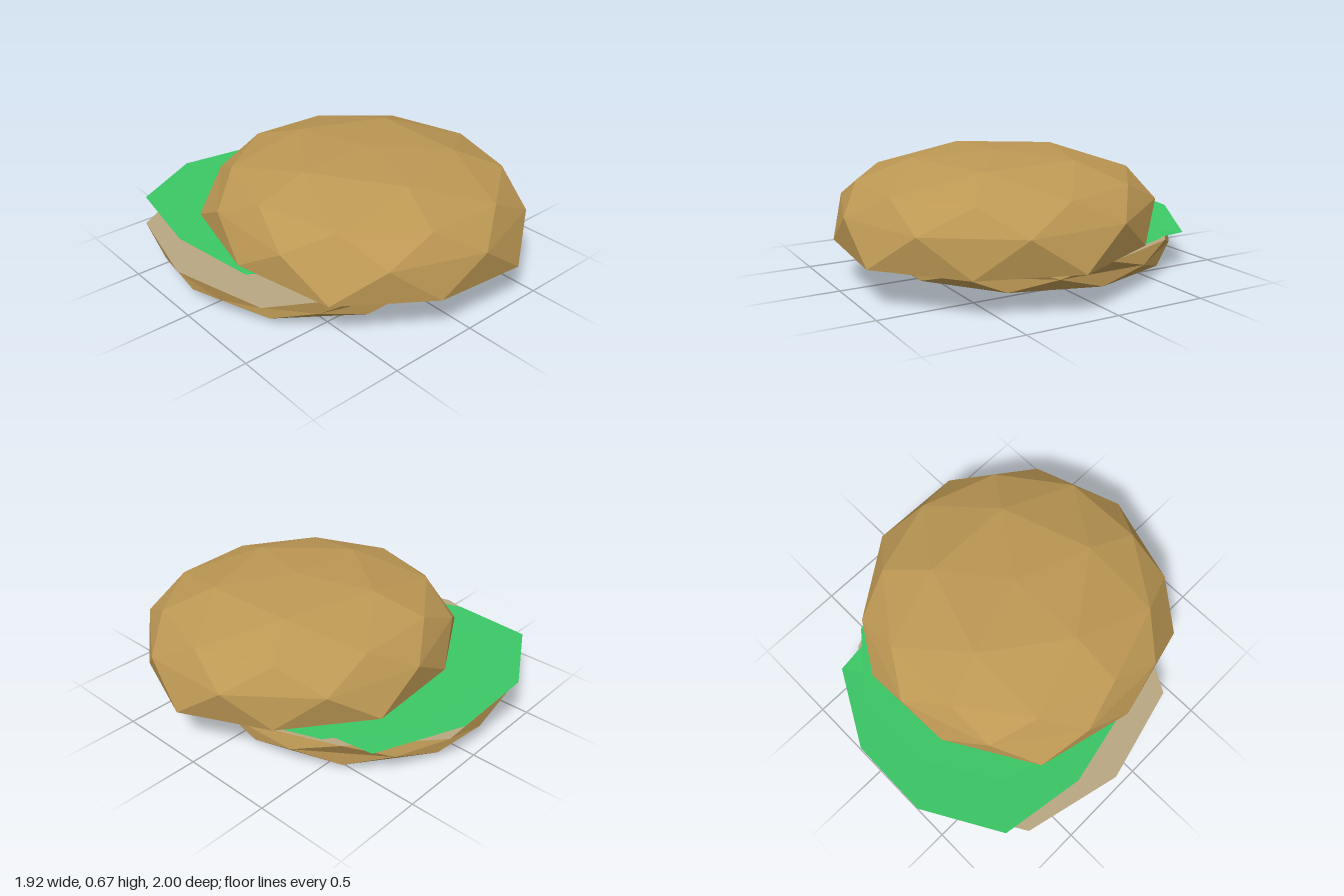
import * as THREE from 'three';

const material = (name, color) => new THREE.MeshStandardMaterial({ name, color, flatShading: true });

// Slightly uneven rim shared by both bun halves
const RIM = [0.87, 0.83, 0.88, 0.855, 0.91, 0.87, 0.915, 0.86, 0.88, 0.83];
const LEAF_A = [0.72, 0.77, 0.74, 0.74, 0.77, 0.72, 0.8, 0.745, 0.74, 0.81];
const LEAF_B = [0.72, 0.73, 0.76, 0.75, 0.73, 0.72, 0.77, 0.73, 0.74, 0.72];

// Ring of points around (cx, cz); height(x, z) uses offsets from the centre
function ring(cx, cz, radii, startDeg, height) {
  return radii.map((r, k) => {
    const a = THREE.MathUtils.degToRad(startDeg + (k * 360) / radii.length);
    const x = r * Math.cos(a), z = r * Math.sin(a);
    return new THREE.Vector3(cx + x, height(x, z), cz + z);
  });
}

function meshFrom(name, tris, mat, flip = false) {
  const pts = tris.flatMap(([a, b, c]) => (flip ? [a, c, b] : [a, b, c]));
  const geo = new THREE.BufferGeometry().setFromPoints(pts);
  geo.computeVertexNormals();
  const mesh = new THREE.Mesh(geo, mat);
  mesh.name = name;
  return mesh;
}

// Fan facing up when flip is false
const fan = (center, r) => r.map((p, k) => [center, r[(k + 1) % r.length], p]);

// Faceted half dome: rim, two rings of ten, a ring of five and a pole
function bunHalf(name, cx, cz, radii, heights, tilts, crust, cut, down) {
  const h = (i) => (x, z) => heights[i] - tilts[i] * (1.1 * x + z);
  const same = (n, r) => Array(n).fill(r);
  const r0 = ring(cx, cz, RIM, 0, h(0));
  const r1 = ring(cx, cz, same(10, radii[0]), 18, h(1));
  const r2 = ring(cx, cz, same(10, radii[1]), 0, h(2));
  const r3 = ring(cx, cz, same(5, radii[2]), 36, h(3));
  const pole = new THREE.Vector3(cx, heights[4], cz);
  const tris = fan(pole, r3);
  for (let k = 0; k < 10; k++) {
    const n = (k + 1) % 10;
    tris.push([r0[n], r0[k], r1[k]], [r1[k], r1[n], r0[n]]);
    tris.push([r1[n], r1[k], r2[n]], [r2[k], r2[n], r1[k]]);
  }
  for (let j = 0; j < 5; j++) {
    const a = r2[2 * j], b = r2[2 * j + 1], c = r2[(2 * j + 2) % 10];
    tris.push([b, a, r3[j]], [c, b, r3[j]], [r3[j], r3[(j + 1) % 5], c]);
  }
  const group = new THREE.Group();
  group.name = name;
  const mid = new THREE.Vector3(cx, heights[0], cz);
  group.add(meshFrom(name + 'Crust', tris, crust, down));
  group.add(meshFrom(name + 'CutFace', fan(mid, r0), cut, !down));
  return group;
}

// Thin tilted leaf with a flat top and a shallow bowl underneath
function leaf(name, cx, cz, radii, y, tx, tz, mat) {
  const plane = (drop, floor) => (x, z) => Math.max(floor, y + tx * x + tz * z - drop);
  const rim = ring(cx, cz, radii, 0, plane(0, 0.198));
  const inner = ring(cx, cz, radii.map((r) => r * 0.72), 0, plane(0.035, 0.19));
  const topRing = ring(cx, cz, radii.map((r) => r * 0.5), 0, plane(0, 0.2));
  const tris = fan(new THREE.Vector3(cx, y, cz), topRing);
  const under = fan(new THREE.Vector3(cx, 0.189, cz), inner);
  rim.forEach((p, k) => {
    const n = (k + 1) % rim.length;
    tris.push([rim[n], p, topRing[k]], [topRing[k], topRing[n], rim[n]]);
    under.push([rim[n], p, inner[k]], [inner[k], inner[n], rim[n]]);
  });
  const group = new THREE.Group();
  group.name = name;
  group.add(meshFrom(name + 'Top', tris, mat), meshFrom(name + 'Underside', under, mat, true));
  return group;
}

export function createModel() {
  const crust = material('bunCrust', 0xbd9854);
  const cut = material('bunCutFace', 0xb9a782);
  const green = material('lettuceGreen', 0x3cc866);

  const model = new THREE.Group();
  model.name = 'bunWithLettuce';
  model.add(
    bunHalf('topBun', 0.09, 0.15, [0.845, 0.73, 0.45],
      [0.245, 0.42, 0.545, 0.645, 0.668], [0.037, 0.025, 0.025, 0.025, 0], crust, cut, false),
    bunHalf('bottomBun', -0.095, -0.13, [0.83, 0.79, 0.48],
      [0.185, 0.11, 0.038, 0.013, 0], [0, 0, 0.003, 0.003, 0], crust, cut, true),
    leaf('lowerLeaf', -0.12, -0.3, LEAF_A, 0.206, -0.065, -0.075, green),
    leaf('upperLeaf', 0.05, -0.12, LEAF_B, 0.214, -0.03, -0.05, green),
  );
  return model;
}
